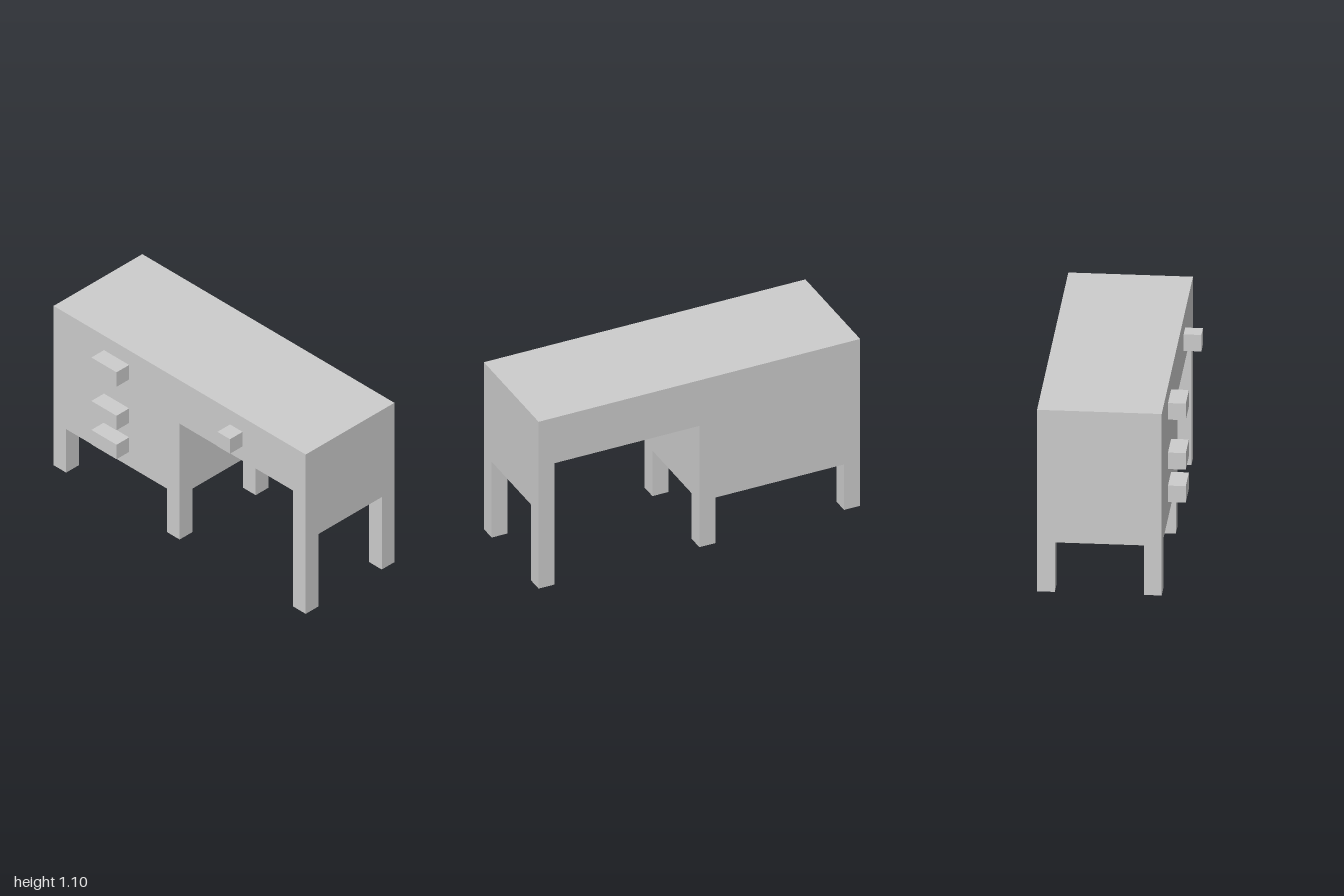
import * as THREE from 'three';

const material = new THREE.MeshStandardMaterial({ color: 0xcccccc, flatShading: true });
const BACK = -0.4, FRONT = 0.3; // depth range of the desk
const LEG = 0.1;                // leg and side panel thickness

// Box given by its minimum corner and its size
function box(name, x, y, z, w, h, d) {
  const geometry = new THREE.BoxGeometry(w, h, d);
  geometry.translate(x + w / 2, y + h / 2, z + d / 2);
  const mesh = new THREE.Mesh(geometry, material);
  mesh.name = name;
  return mesh;
}

export function createModel() {
  const desk = new THREE.Group();
  desk.name = 'desk';

  // Body: drawer cabinet, top with centre drawer, and side panel in one outline
  const outline = new THREE.Shape([
    [-1, 0.3], [0, 0.3], [0, 0.8], [0.9, 0.8],
    [0.9, 0.5], [1, 0.5], [1, 1.1], [-1, 1.1],
  ].map(([x, y]) => new THREE.Vector2(x, y)));
  const bodyGeometry = new THREE.ExtrudeGeometry(outline, { depth: FRONT - BACK, bevelEnabled: false });
  bodyGeometry.translate(0, 0, BACK);
  const body = new THREE.Mesh(bodyGeometry, material);
  body.name = 'body';
  desk.add(body);

  // Legs: front and back pairs, taller under the side panel
  const legs = new THREE.Group();
  legs.name = 'legs';
  for (const [x, height] of [[-1, 0.3], [-0.1, 0.3], [0.9, 0.5]]) {
    legs.add(box('frontLeg', x, 0, FRONT - LEG, LEG, height, LEG));
    legs.add(box('backLeg', x, 0, BACK, LEG, height, LEG));
  }
  desk.add(legs);

  // Drawer handles: three on the cabinet, a small one on the centre drawer
  const handles = new THREE.Group();
  handles.name = 'handles';
  for (const y of [0.4, 0.6, 0.9]) {
    handles.add(box('cabinetHandle', -0.6, y, FRONT, 0.2, 0.1, 0.1));
  }
  handles.add(box('centreDrawerKnob', 0.4, 0.9, FRONT, 0.1, 0.1, 0.1));
  desk.add(handles);

  return desk;
}
